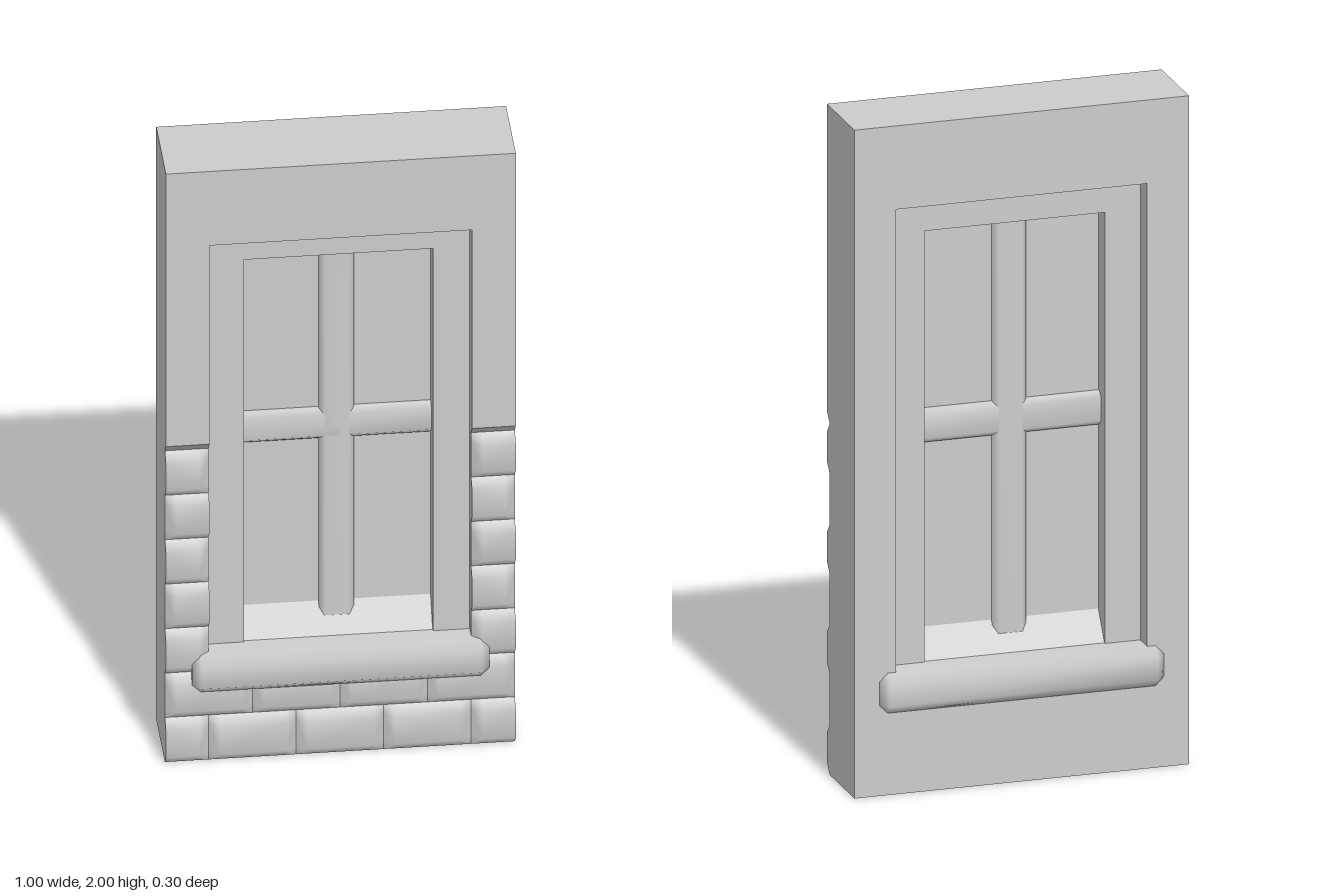
import * as THREE from 'three';
import { mergeVertices } from 'three/addons/utils/BufferGeometryUtils.js';
import { ConvexGeometry } from 'three/addons/geometries/ConvexGeometry.js';

const HALF = 0.5, OPEN = 0.375, OPEN_TOP = 1.75, OPEN_BOTTOM = 0.3;
const FRONT = 0.125, JOINT = 0.1, BEVEL = 0.03, COURSE = 0.15, BRICK = 0.25;

const stone = new THREE.MeshStandardMaterial({ color: 0xcccccc });
stone.name = 'stone grey';
const pane = new THREE.MeshStandardMaterial({ color: 0xcccccc, side: THREE.DoubleSide });
pane.name = 'pane grey';

function add(parent, name, geometry, material = stone) {
  const mesh = new THREE.Mesh(geometry, material);
  mesh.name = name;
  parent.add(mesh);
  return mesh;
}

function rectangle(Type, x, y0, y1) {
  return new Type([[-x, y0], [x, y0], [x, y1], [-x, y1]].map(p => new THREE.Vector2(...p)));
}

// Rectangular plate with a rectangular hole, from z0 to z1
function holedPlate(outer, inner, z0, z1) {
  const shape = rectangle(THREE.Shape, ...outer);
  shape.holes.push(rectangle(THREE.Path, ...inner));
  return new THREE.ExtrudeGeometry(shape, { depth: z1 - z0, bevelEnabled: false }).translate(0, 0, z0);
}

// Box with chamfered edges and soft shading
function softBox(w, h, d, c) {
  const points = [];
  for (const x of [-1, 1]) for (const y of [-1, 1]) for (const z of [-1, 1]) {
    for (let axis = 0; axis < 3; axis++) {
      const half = [w / 2, h / 2, d / 2].map((v, i) => (i === axis ? v : v - c));
      points.push(new THREE.Vector3(x * half[0], y * half[1], z * half[2]));
    }
  }
  const geometry = new ConvexGeometry(points);
  geometry.deleteAttribute('normal');
  const merged = mergeVertices(geometry, 1e-5);
  merged.computeVertexNormals();
  return merged;
}

// Pillow-faced brick; an end cut by the wall edge or the opening stays square
function brickGeometry(x0, x1, y0, cutLeft, cutRight) {
  const y1 = y0 + COURSE;
  const xs = [x0, x1];
  if (!cutLeft) xs.splice(1, 0, x0 + BEVEL);
  if (!cutRight) xs.splice(-1, 0, x1 - BEVEL);
  const ys = [y0, y0 + BEVEL, y1 - BEVEL, y1];
  const n = xs.length, position = [], index = [];
  ys.forEach((y, j) => xs.forEach((x, i) => {
    const low = j === 0 || j === 3 || (i === 0 && !cutLeft) || (i === n - 1 && !cutRight);
    position.push(x, y, low ? JOINT : FRONT);
  }));
  for (let j = 0; j < 3; j++) for (let i = 0; i < n - 1; i++) {
    const a = j * n + i, b = a + 1, c = b + n, d = a + n;
    // Corner quads fold along the line running to the brick's corner
    const risingFold = (j === 0) === (i === 0);
    if (risingFold) index.push(a, b, c, a, c, d);
    else index.push(a, b, d, b, c, d);
  }
  for (const [cut, x, flip] of [[cutLeft, x0, true], [cutRight, x1, false]]) {
    if (!cut) continue;
    const s = position.length / 3;
    ys.forEach((y, j) => position.push(x, y, j % 3 ? FRONT : JOINT));
    if (flip) index.push(s, s + 1, s + 2, s, s + 2, s + 3);
    else index.push(s, s + 2, s + 1, s, s + 3, s + 2);
  }
  const geometry = new THREE.BufferGeometry();
  geometry.setAttribute('position', new THREE.Float32BufferAttribute(position, 3));
  geometry.setIndex(index);
  geometry.computeVertexNormals();
  return geometry;
}

function createBricks() {
  const bricks = new THREE.Group();
  bricks.name = 'bricks';
  for (let row = 0; row < 7; row++) {
    const spans = row < 2 ? [[-HALF, HALF]] : [[-HALF, -OPEN], [OPEN, HALF]];
    const start = row % 2 ? -HALF : -HALF - BRICK / 2;
    for (const [lo, hi] of spans) for (let k = 0; k < 5; k++) {
      const a = start + k * BRICK, b = a + BRICK;
      const x0 = Math.max(a, lo), x1 = Math.min(b, hi);
      if (x1 - x0 < 0.01) continue;
      add(bricks, 'brick', brickGeometry(x0, x1, row * COURSE, a < lo - 0.001, b > hi + 0.001));
    }
  }
  return bricks;
}

// Plaster face above the bricks, its lower edge sloping back to the joint
function plasterFace() {
  const low = 7 * COURSE + BEVEL;
  const outline = [[-HALF, low], [-OPEN, low], [-OPEN, OPEN_TOP], [OPEN, OPEN_TOP],
    [OPEN, low], [HALF, low], [HALF, 2], [-HALF, 2]];
  const shape = new THREE.Shape(outline.map(p => new THREE.Vector2(...p)));
  const geometry = new THREE.ExtrudeGeometry(shape, { depth: FRONT - JOINT, bevelEnabled: false });
  geometry.translate(0, 0, JOINT);
  const p = geometry.attributes.position;
  for (let i = 0; i < p.count; i++) {
    if (p.getZ(i) < JOINT + 0.01 && p.getY(i) < low + 0.01) p.setY(i, low - BEVEL);
  }
  geometry.computeVertexNormals();
  return geometry;
}

function createWindow() {
  const group = new THREE.Group();
  group.name = 'window';
  const w = 0.27, top = 1.655, bottom = 0.355, depth = 0.0625;
  add(group, 'frame', holedPlate([OPEN, OPEN_BOTTOM, OPEN_TOP], [w, bottom, top], -depth, depth));
  add(group, 'glass', new THREE.PlaneGeometry(2 * w, top - bottom), pane)
    .position.set(0, (top + bottom) / 2, 0);

  // Bottom rail sloping down to both sides
  const ridge = new THREE.Shape([[-depth, bottom], [depth, bottom], [0, 0.45]].map(p => new THREE.Vector2(...p)));
  const rail = new THREE.ExtrudeGeometry(ridge, { depth: 2 * w, bevelEnabled: false });
  rail.translate(0, 0, -w).rotateY(Math.PI / 2);
  add(group, 'bottomRail', rail);

  // Glazing bars, their ends buried in the frame
  add(group, 'uprightBar', softBox(0.1, 1.28, 0.05, 0.015)).position.set(0, 1.04, 0);
  add(group, 'crossBar', softBox(2 * w + 0.06, 0.1, 0.05, 0.015)).position.set(0, 1.055, 0);
  return group;
}

export function createModel() {
  const model = new THREE.Group();
  model.name = 'windowWall';
  add(model, 'wall', holedPlate([HALF, 0, 2], [OPEN, OPEN_BOTTOM, OPEN_TOP], -FRONT, JOINT));
  add(model, 'plasterFace', plasterFace());
  model.add(createBricks(), createWindow());
  // Sill running through the wall
  add(model, 'sill', softBox(0.85, 0.12, 0.3, 0.025)).position.set(0, 0.305, 0);
  return model;
}
